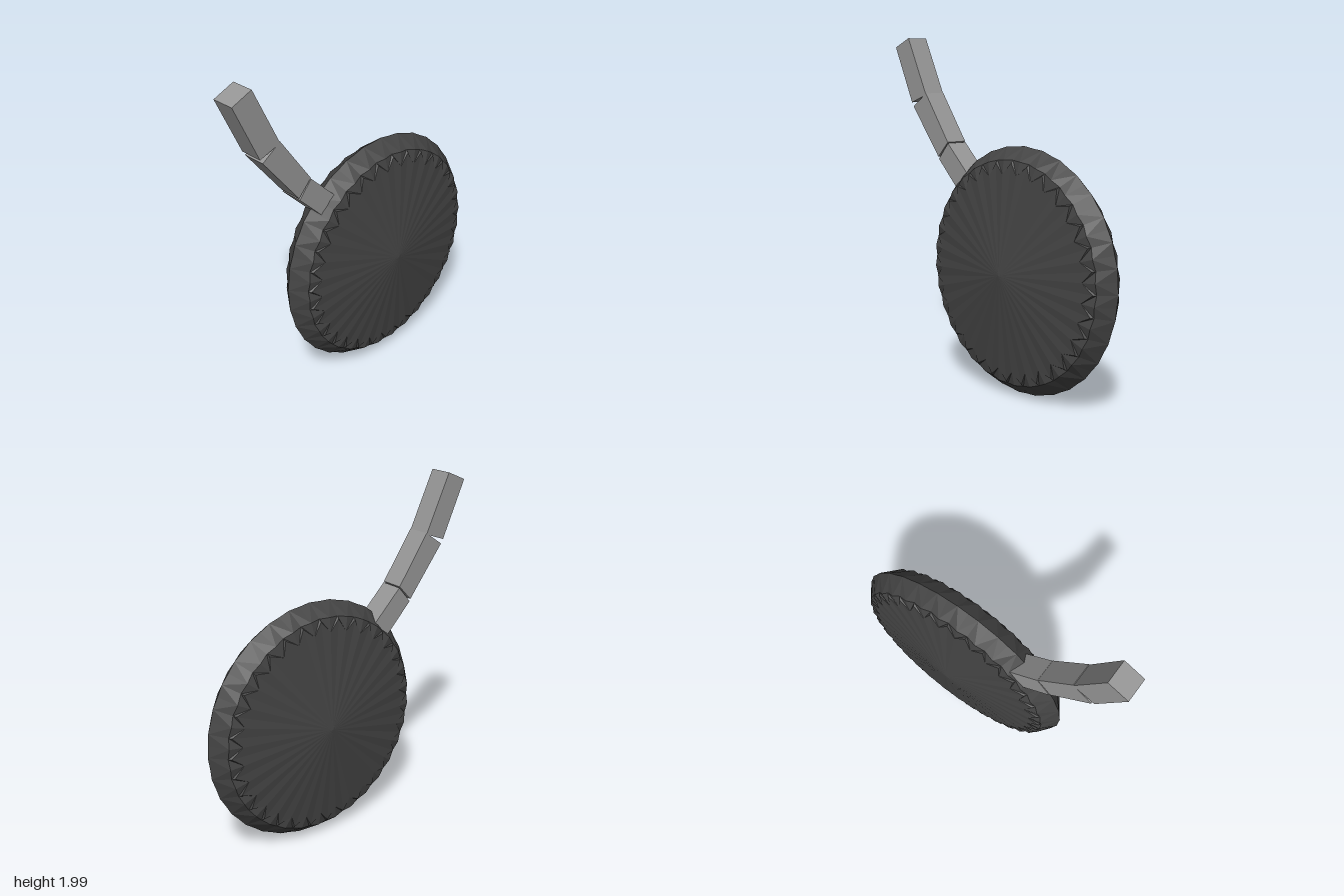
import * as THREE from 'three';

const TEETH = 32;

// One side of the wheel: shallow cone, zigzag shoulder, then slopes to the rim.
// Each ring gives [radius, x] for tooth boundaries and for tooth middles.
const RINGS = [
  [[0, 0.177], [0, 0.177]],
  [[0.615, 0.1], [0.55, 0.112]],
  [[0.628, 0.085], [0.628, 0.097]],
  [[0.7, 0], [0.695, 0]],
];

function wheelGeometry() {
  const pos = [];
  const steps = TEETH * 2;
  const point = (ring, i, side) => {
    const [r, x] = RINGS[ring][i % 2];
    const a = (i / steps) * Math.PI * 2 + 0.03;
    return [x * side, r * Math.sin(a), r * Math.cos(a)];
  };
  for (const side of [1, -1]) {
    const tri = (a, b, c) => pos.push(...a, ...(side > 0 ? b : c), ...(side > 0 ? c : b));
    for (let i = 0; i < steps; i++) {
      for (let k = 0; k < RINGS.length - 1; k++) {
        const a = point(k, i, side), b = point(k, i + 1, side);
        const c = point(k + 1, i + 1, side), d = point(k + 1, i, side);
        if (k === 0) tri(a, c, d);
        else if (i % 2) { tri(a, c, d); tri(a, b, c); }
        else { tri(a, b, d); tri(b, c, d); }
      }
    }
  }
  const geo = new THREE.BufferGeometry();
  geo.setAttribute('position', new THREE.Float32BufferAttribute(pos, 3));
  geo.computeVertexNormals();
  return geo;
}

// A bar with the given (z, y) side outline, running across x
function barGeometry(outline) {
  const shape = new THREE.Shape(outline.map(([z, y]) => new THREE.Vector2(z, y)));
  const geo = new THREE.ExtrudeGeometry(shape, { depth: 0.135, bevelEnabled: false });
  geo.rotateY(-Math.PI / 2);
  geo.translate(0.055, 0, 0);
  return geo;
}

export function createModel() {
  const model = new THREE.Group();
  const rubber = new THREE.MeshStandardMaterial({ color: 0x444444 });
  rubber.name = 'dark rubber';
  const metal = new THREE.MeshStandardMaterial({ color: 0x969696 });
  metal.name = 'grey metal';

  const wheel = new THREE.Mesh(wheelGeometry(), rubber);
  wheel.name = 'wheel';
  wheel.position.set(0, 0.705, -0.168);
  model.add(wheel);

  // Bent arm of three bars with narrow wedge gaps at the joints
  const arm = new THREE.Group();
  arm.name = 'arm';
  const bars = {
    upperArm: [[0.87, 1.947], [0.747, 2.0], [0.588, 1.667], [0.72, 1.619]],
    middleArm: [[0.705, 1.595], [0.588, 1.675], [0.392, 1.396], [0.477, 1.306]],
    lowerArm: [[0.472, 1.294], [0.39, 1.39], [0.15, 1.155], [0.235, 1.055]],
  };
  for (const [name, outline] of Object.entries(bars)) {
    const bar = new THREE.Mesh(barGeometry(outline), metal);
    bar.name = name;
    arm.add(bar);
  }
  model.add(arm);
  return model;
}
